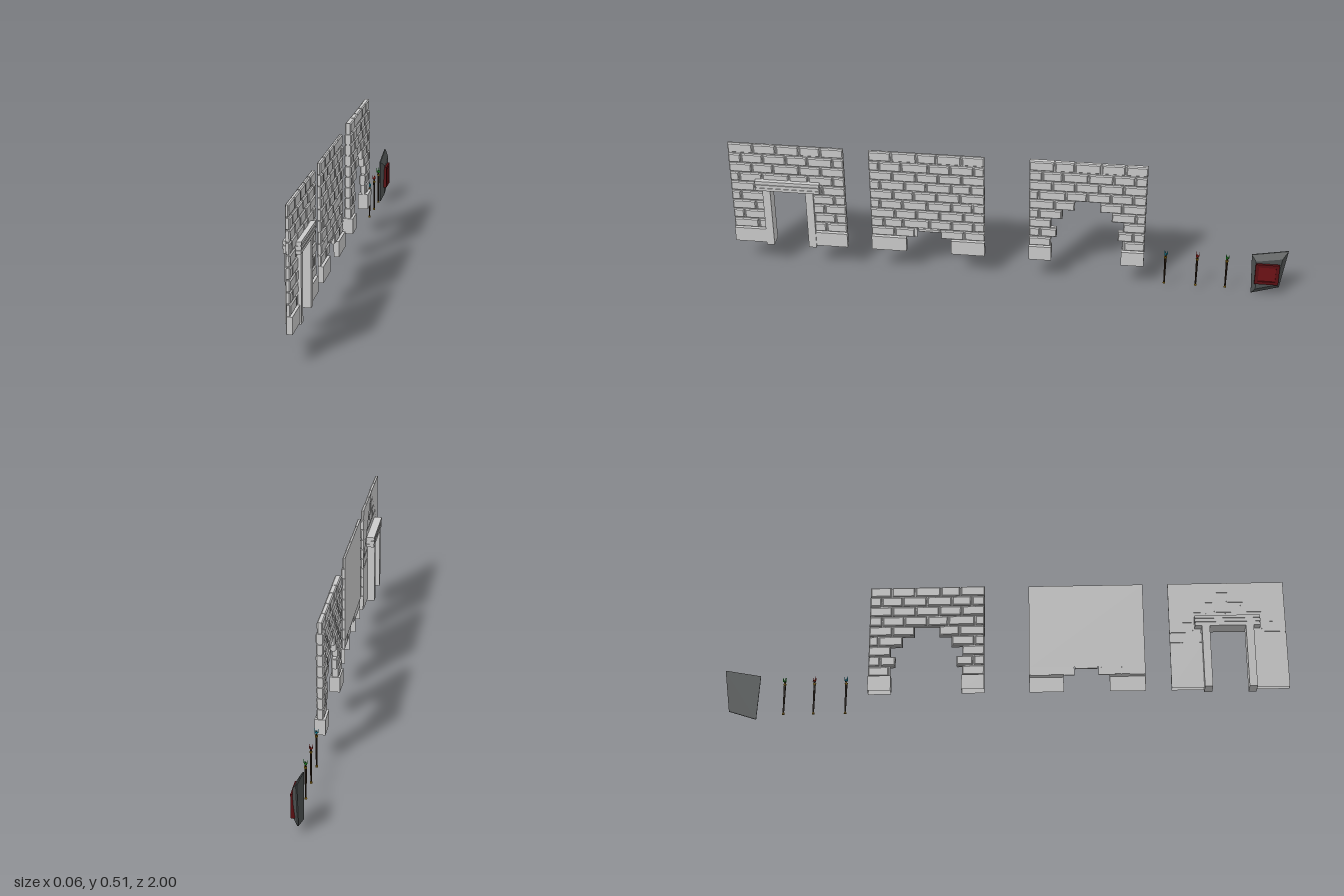
import * as THREE from 'three';
import { mergeGeometries } from 'three/addons/utils/BufferGeometryUtils.js';
import { ConvexGeometry } from 'three/addons/geometries/ConvexGeometry.js';

const mat = (color) => new THREE.MeshStandardMaterial({ color, flatShading: true, side: THREE.DoubleSide });
const stone = mat(0xcccccc), slate = mat(0x4c5050), darkRed = mat(0x5a0f12), red = mat(0x6e1216);
const wood = mat(0x2a1d12), gold = mat(0xa8801c);

const TOP = 0.511, BASE = 0.157, ROWS = 9, ROW_H = (TOP - BASE) / ROWS, FLOOR = 0.1;

function add(parent, name, geometry, material) {
  const mesh = new THREE.Mesh(geometry, material);
  mesh.name = name;
  parent.add(mesh);
  return mesh;
}

// Box given by its limits on each axis
function box(x0, x1, y0, y1, z0, z1) {
  return new THREE.BoxGeometry(x1 - x0, y1 - y0, z1 - z0)
    .translate((x0 + x1) / 2, (y0 + y1) / 2, (z0 + z1) / 2);
}

// Brick with chamfered face; both = chamfer on the back as well
function brick(y0, y1, z0, z1, face, both) {
  const levels = both ? [-face, -face + 0.004, face - 0.004, face] : [0, 0.004, face - 0.004, face];
  const h = y1 - y0, d = z1 - z0, inset = 0.0035;
  const g = new THREE.BoxGeometry(3, h, d, 3, 1, 1);
  const p = g.attributes.position;
  for (let i = 0; i < p.count; i++) {
    const k = Math.round(p.getX(i) + 1.5);
    const s = k === 3 || (both && k === 0) ? inset : 0;
    p.setXYZ(i, levels[k],
      p.getY(i) - Math.sign(p.getY(i)) * s + (y0 + y1) / 2,
      p.getZ(i) - Math.sign(p.getZ(i)) * s + (z0 + z1) / 2);
  }
  return g;
}

// Base block left open underneath, and at the back when single sided
function baseBlock(z0, z1, both) {
  const x0 = both ? -0.018 : 0, x1 = 0.019, g = box(x0, x1, FLOOR, BASE, z0, z1);
  const faces = Array.from(g.index.array);
  // face order: +x, -x, +y, -y, +z, -z, six indices each
  const kept = faces.filter((_, i) => {
    const f = Math.floor(i / 6);
    return f !== 3 && (both || f !== 1);
  });
  g.setIndex(kept);
  return g;
}

// Running-bond wall; gaps maps a row number to its open [z0, z1] interval
function wall(name, zMin, zMax, gaps, baseGap, both, seed) {
  const group = new THREE.Group();
  group.name = name;
  const rand = () => (seed = (seed * 16807) % 2147483647) / 2147483647;
  const bricks = [], mortar = [];
  const step = (zMax - zMin) / 5;
  for (let r = 0; r < ROWS; r++) {
    const y0 = BASE + r * ROW_H, y1 = y0 + ROW_H;
    const gap = gaps(r);
    const spans = gap ? [[zMin, gap[0]], [gap[1], zMax]] : [[zMin, zMax]];
    const joints = [zMin];
    for (let i = 0; i < 6; i++) {
      const z = zMin + (i + (r % 2 ? 0.5 : 1)) * step + (rand() - 0.5) * 0.016;
      if (z < zMax - 0.025) joints.push(z);
    }
    joints.push(zMax);
    for (const [a, b] of spans) {
      const m = both ? -0.006 : 0.002;
      mortar.push(box(m, 0.006, y0, Math.min(y1, TOP - 0.003), a + 0.004, b - 0.004));
      for (let i = 0; i < joints.length - 1; i++) {
        const z0 = Math.max(joints[i], a), z1 = Math.min(joints[i + 1], b);
        const face = (r === ROWS - 1 ? 0.009 : 0.0115) + rand() * 0.0025;
        if (z1 - z0 < 0.012) continue;
        bricks.push(brick(y0 + 0.002, r === ROWS - 1 ? TOP : y1 - 0.002,
          z0 + (z0 === zMin ? 0 : 0.002), z1 - (z1 === zMax ? 0 : 0.002), face, both));
      }
    }
  }
  add(group, 'bricks', mergeGeometries(bricks), stone);
  add(group, 'mortar', mergeGeometries(mortar), stone);
  add(group, 'baseBlocks', mergeGeometries([
    baseBlock(zMin, baseGap[0], both), baseBlock(baseGap[1], zMax, both)]), stone);
  return group;
}

// Flat back sheet drawn in (z, y)
function backSheet(points) {
  return new THREE.ShapeGeometry(new THREE.Shape(points.map(([z, y]) => new THREE.Vector2(z, y))))
    .rotateY(-Math.PI / 2).translate(-0.001, 0, 0);
}

function doorWall() {
  const g = wall('doorWall', 0.585, 1, (r) => (r < 4 ? [0.715, 0.868] : r === 4 ? [0.7, 0.885] : null), [0.705, 0.88], false, 11);
  add(g, 'backSheets', mergeGeometries([
    backSheet([[0.585, TOP], [0.585, 0.31], [0.8, TOP]]),
    backSheet([[0.8, TOP], [1, 0.31], [1, TOP]]),
    backSheet([[0.585, FLOOR], [0.705, FLOOR], [0.705, 0.275], [0.585, 0.275]]),
    backSheet([[0.88, FLOOR], [1, FLOOR], [1, 0.31], [0.88, 0.31]]),
  ]), stone);
  // Timber frame: two posts and a layered lintel
  for (const z of [0.7, 0.856]) add(g, 'doorPost', box(-0.029, 0.023, 0.093, 0.333, z, z + 0.028), stone);
  [[0.329, 0.34, 0.029], [0.34, 0.344, 0.027], [0.344, 0.354, 0.03], [0.354, 0.358, 0.027], [0.358, 0.369, 0.03]]
    .forEach(([y0, y1, x], i) => add(g, 'lintelLayer', box(-x, x - 0.001, y0, y1, 0.675 + (i % 2) * 0.003, 0.908 - (i % 2) * 0.003), stone));
  return g;
}

function brokenWall() {
  const g = wall('brokenWall', 0.083, 0.495, (r) => (r === 0 ? [0.245, 0.325] : null), [0.205, 0.368], false, 29);
  add(g, 'backSheet', backSheet([[0.083, 0.187], [0.495, 0.187], [0.495, TOP], [0.083, TOP]]), stone);
  // Worn bricks hanging into the top of the small gap
  add(g, 'wornBricks', brick(0.182, 0.198, 0.245, 0.325, 0.011, false), stone);
  return g;
}

function archWall() {
  const steps = [[-0.408, -0.157], [-0.392, -0.177], [-0.41, -0.157], [-0.368, -0.199], [-0.326, -0.24]];
  return wall('archWall', -0.49, -0.076, (r) => steps[r], [-0.408, -0.157], true, 47);
}

// Slender torch with a flared head, prongs and a coloured flame
function torch(z, color) {
  const g = new THREE.Group();
  g.name = 'torch';
  const flame = mat(color);
  add(g, 'foot', new THREE.CylinderGeometry(0.0035, 0.005, 0.007, 6).translate(0, 0.024, 0), gold);
  add(g, 'shaft', new THREE.CylinderGeometry(0.0042, 0.0028, 0.108, 6).translate(0, 0.08, 0), wood);
  add(g, 'collar', new THREE.CylinderGeometry(0.0058, 0.0045, 0.006, 6).translate(0, 0.135, 0), gold);
  for (let i = 0; i < 3; i++) {
    const prong = add(g, 'prong', new THREE.ConeGeometry(0.0028, 0.026, 4).translate(0, 0.013, 0).rotateZ(-0.28), wood);
    prong.position.y = 0.136;
    prong.rotation.y = i * Math.PI * 2 / 3 + Math.PI / 2;
    const tip = add(g, 'flameTip', new THREE.ConeGeometry(0.0025, 0.018, 4).translate(0.005, 0.009, 0).rotateZ(-0.15), flame);
    tip.position.y = 0.148;
    tip.rotation.y = prong.rotation.y;
  }
  add(g, 'flameCore', new THREE.OctahedronGeometry(0.0045).scale(1, 1.8, 1).translate(0, 0.148, 0), flame);
  g.position.z = z;
  return g;
}

// Skewed slab with a framed panel on its face
function framedSlab() {
  const g = new THREE.Group();
  g.name = 'framedSlab';
  const outline = [[-0.872, 0.166], [-1, 0.19], [-0.978, 0.032], [-0.88, 0]];
  const ring = (x, s) => outline.map(([z, y]) =>
    new THREE.Vector3(x, 0.097 + (y - 0.097) * s, -0.931 + (z + 0.931) * s));
  add(g, 'slab', new ConvexGeometry([...ring(-0.009, 1), ...ring(-0.005, 1), ...ring(0.009, 0.72)]), slate);
  const [z0, z1, y0, y1, t] = [-0.973, -0.888, 0.055, 0.14, 0.012];
  add(g, 'panelFrame', mergeGeometries([
    box(0, 0.017, y0, y0 + t, z0, z1), box(0, 0.017, y1 - t, y1, z0, z1),
    box(0, 0.017, y0 + t, y1 - t, z0, z0 + t), box(0, 0.017, y0 + t, y1 - t, z1 - t, z1),
  ]), darkRed);
  add(g, 'panel', box(0, 0.013, y0 + t, y1 - t, z0 + t, z1 - t), red);
  return g;
}

export function createModel() {
  const model = new THREE.Group();
  model.name = 'dungeonKit';
  model.add(doorWall(), brokenWall(), archWall(), framedSlab());
  [[-0.567, 0x18a8c8], [-0.68, 0xc02820], [-0.786, 0x28b030]].forEach(([z, c]) => model.add(torch(z, c)));
  return model;
}
